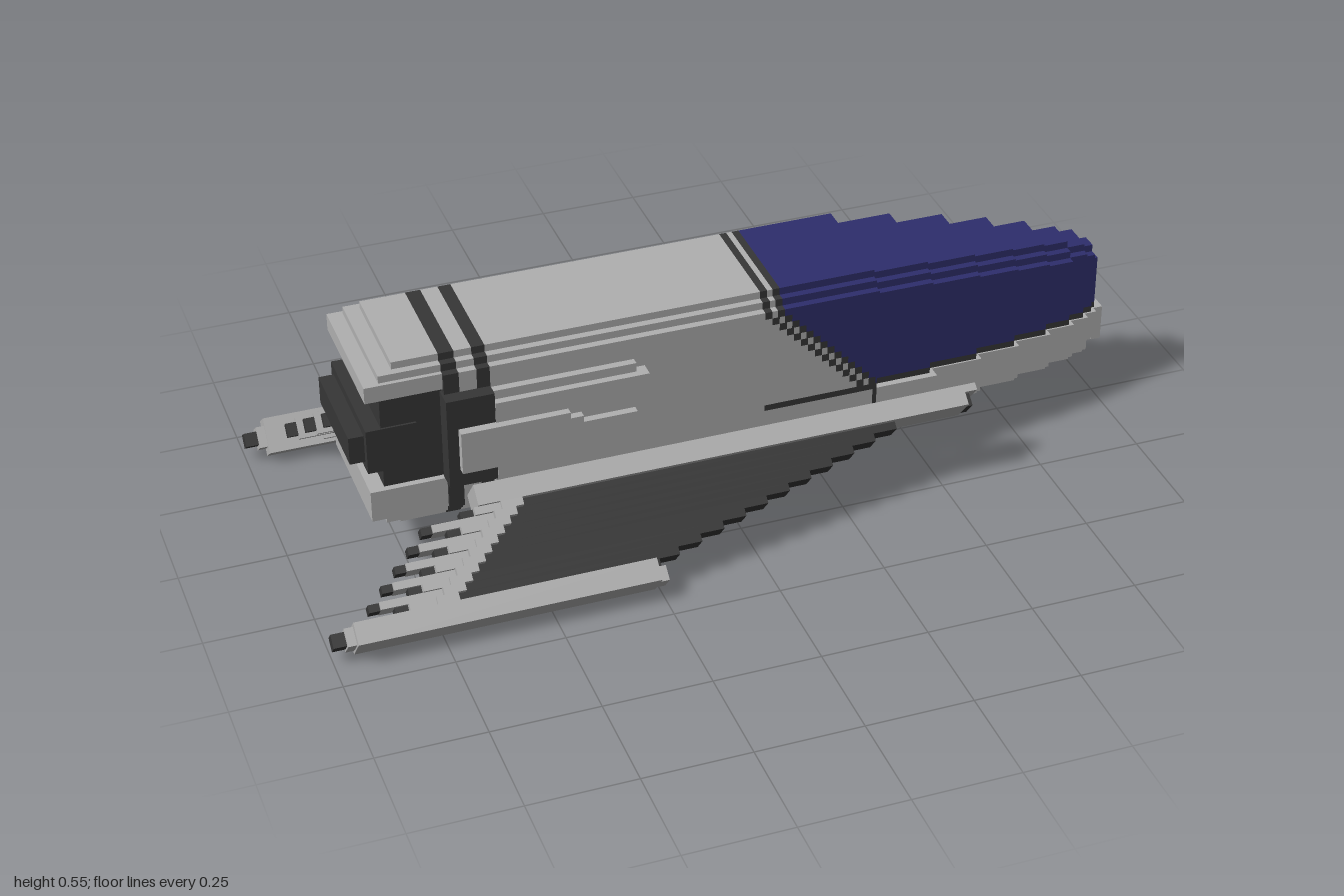
import * as THREE from 'three';

const V = 0.0176; // size of one block
const mat = (name, hex) => {
  const m = new THREE.MeshStandardMaterial({ color: hex });
  m.name = name;
  return m;
};

export function createModel() {
  const grey = mat('hull grey', 0xb0b0b0);
  const dark = mat('dark trim', 0x363636);
  const blue = mat('canopy blue', 0x2e2e6c);
  const root = new THREE.Group();
  root.name = 'spaceship';

  const add = (name, geo, m, parent) => {
    const mesh = new THREE.Mesh(geo, m);
    mesh.name = name;
    parent.add(mesh);
    return mesh;
  };
  // Box given by its limits on each axis
  const box = (name, m, x0, x1, y0, y1, z0, z1, parent = root) =>
    add(name, new THREE.BoxGeometry(x1 - x0, y1 - y0, Math.abs(z1 - z0)), m, parent)
      .position.set((x0 + x1) / 2, (y0 + y1) / 2, (z0 + z1) / 2);

  // Hull slice along x with stepped corners: nTop steps above, nBot below
  const slice = (name, m, x0, x1, half, y0, y1, nTop, nBot) => {
    const right = [];
    for (let i = nBot; i >= 0; i--) {
      const y = y0 + (nBot - i) * V;
      if (i < nBot) right.push([half - (i + 1) * V, y]);
      right.push([half - i * V, y]);
    }
    for (let i = 0; i <= nTop; i++) {
      const y = y1 - (nTop - i) * V;
      right.push([half - i * V, y]);
      if (i < nTop) right.push([half - (i + 1) * V, y]);
    }
    const left = right.map(([z, y]) => [-z, y]).reverse();
    const shape = new THREE.Shape([...right, ...left].map(p => new THREE.Vector2(...p)));
    const geo = new THREE.ExtrudeGeometry(shape, { depth: x1 - x0, bevelEnabled: false });
    geo.rotateY(Math.PI / 2);
    geo.translate(x0, 0, 0);
    add(name, geo, m, root);
  };

  // Main hull with two dark bands
  [[-0.66, -0.625, dark], [-0.625, -0.585, grey], [-0.585, -0.555, dark], [-0.555, 0.085, grey]]
    .forEach(([a, b, m]) => slice(m === dark ? 'hullBand' : 'hull', m, a, b, 0.168, 0.133, 0.555, 2, 2));
  slice('lowerHull', grey, 0.085, 0.35, 0.168, 0.133, 0.257, 0, 2);
  slice('keelTrim', dark, 0.35, 0.36, 0.168, 0.133, 0.257, 0, 2);

  // Rear overhangs above and below the engine
  [[-0.765, 0.132, 0], [-0.8, 0.15, 1], [-0.835, 0.16, 2]].forEach(([x, half, i]) => {
    const top = 0.555 - i * V, bottom = 0.133 + i * V;
    box('rearRoof', grey, x, -0.66, i < 2 ? top - V : 0.48, top, -half, half);
    box('rearFloor', grey, x, -0.66, bottom, i < 2 ? bottom + V : 0.245, -half, half);
  });

  // Recessed engine and nozzle bar
  box('engineCore', dark, -0.8, -0.66, 0.245, 0.48, -0.145, 0.145);
  box('engineRing', dark, -0.835, -0.72, 0.29, 0.4, -0.15, 0.15);
  box('engineNozzle', dark, -0.87, -0.82, 0.31, 0.378, -0.13, 0.13);

  // Stepped side pods
  for (const s of [-1, 1]) {
    const pod = (name, m, x0, x1, y0, y1, half) => box(name, m, x0, x1, y0, y1, s * 0.15, s * half);
    pod('podRear', dark, -0.665, -0.555, 0.245, 0.47, 0.2);
    pod('podBase', grey, -0.555, -0.225, 0.222, 0.467, 0.186);
    pod('podBody', grey, -0.555, -0.2, 0.255, 0.445, 0.203);
    pod('podPlate', grey, -0.64, -0.39, 0.29, 0.395, 0.221);
    pod('podTaper', grey, -0.39, -0.36, 0.307, 0.38, 0.221);
    pod('podPoint', grey, -0.36, -0.235, 0.332, 0.364, 0.221);
  }

  // Slanted twin stripe where hull meets canopy, row by row
  const rows = 16, y0 = 0.272, h = (0.555 - y0) / rows;
  for (let i = 0; i < rows; i++) {
    const a = y0 + i * h, b = a + h;
    const e = Math.max(0, 13 - i) / 13 * 0.225;
    const half = 0.168 - Math.max(0, i - 13) * V;
    if (e > 0) box('hullShoulder', grey, 0.085, 0.085 + e, a, b, -half, half);
    [[0.085, 0.102, dark], [0.102, 0.115, grey], [0.115, 0.132, dark]]
      .forEach(([p, q, m]) => box('canopyStripe', m, p + e, q + e, a, b, -half, half));
    if (0.132 + e < 0.36) box('canopyRear', blue, 0.132 + e, 0.36, a, b, -half, half);
  }
  box('canopySill', dark, 0.085, 0.36, 0.257, 0.272, -0.168, 0.168);

  // Nose: stepped canopy, sill and lower hull; entries are end x, half width, top
  let x = 0.36;
  [[0.5, 0.15, 0.537], [0.625, 0.132, 0.52], [0.73, 0.112, 0.502], [0.82, 0.092, 0.485],
    [0.89, 0.072, 0.467], [0.935, 0.054, 0.45], [0.965, 0.036, 0.432], [0.98, 0.02, 0.395]]
    .forEach(([end, half, top], i) => {
      const n = half > 0.06 ? 2 : half > 0.03 ? 1 : 0;
      const tip = end > 0.97 ? 1 : end + 0.012;
      slice('canopy', blue, x, end, half, 0.272, top, n, 0);
      slice('canopySill', dark, x, end, half, 0.257, 0.272, 0, 0);
      slice('noseHull', grey, i ? x + 0.012 : x, tip, half + (i ? 0.004 : 0.016),
        i > 5 ? 0.168 : 0.15, 0.257, 0, Math.min(n, 1));
      x = end;
    });

  // Drooping wings: local z runs along the span, local y is thickness
  const tilt = 40 * Math.PI / 180, T = 0.042, C = 0.025;
  for (const s of [-1, 1]) {
    const wing = new THREE.Group();
    wing.name = s > 0 ? 'frontWing' : 'backWing';
    wing.position.set(0, 0.2285, s * 0.2);
    wing.rotation.x = s * tilt;
    root.add(wing);
    const part = (name, m, x0, x1, t, a, b) => box(name, m, x0, x1, -t, t, s * a, s * b, wing);

    // Root and tip spars with dark cores showing at the ends
    part('rootSpar', grey, -0.62, 0.55, T, 0, 0.048);
    part('rootSparEnd', grey, 0.55, 0.58, T, 0, 0.018);
    part('rootSparCore', dark, 0.55, 0.565, C, 0.018, 0.048);
    part('tipSpar', grey, -0.95, -0.26, T, 0.245, 0.297);
    part('tipSparNose', grey, -0.26, -0.24, C, 0.262, 0.297);
    part('tipSparCore', dark, -0.262, -0.25, C, 0.245, 0.278);
    part('tipSparTail', grey, -0.97, -0.95, C, 0.25, 0.292);
    part('tipSparPin', dark, -1, -0.97, 0.016, 0.255, 0.287);

    // Dark panel, trailing rail and fins in stepped rows
    const n = 11, w = (0.245 - 0.048) / n;
    for (let i = 0; i < n; i++) {
      const a = 0.048 + i * w, b = a + w, t = (i + 0.5) / n;
      const front = 0.4 - 0.63 * t, back = -0.51 - 0.21 * t;
      part('wingPanel', dark, back, front, C, a, b);
      part('trailingRail', grey, back - 0.05, back, T, a, b);
      if (i % 2) {
        part('wingFin', grey, back - 0.19, back - 0.05, C, a, b);
        part('wingFinTip', dark, back - 0.215, back - 0.19, 0.016, a, b);
      } else {
        part('wingFinRoot', grey, back - 0.11, back - 0.05, T * 0.8, a, b);
        part('wingFinGap', dark, back - 0.14, back - 0.11, 0.016, a, b);
      }
    }
  }
  return root;
}
